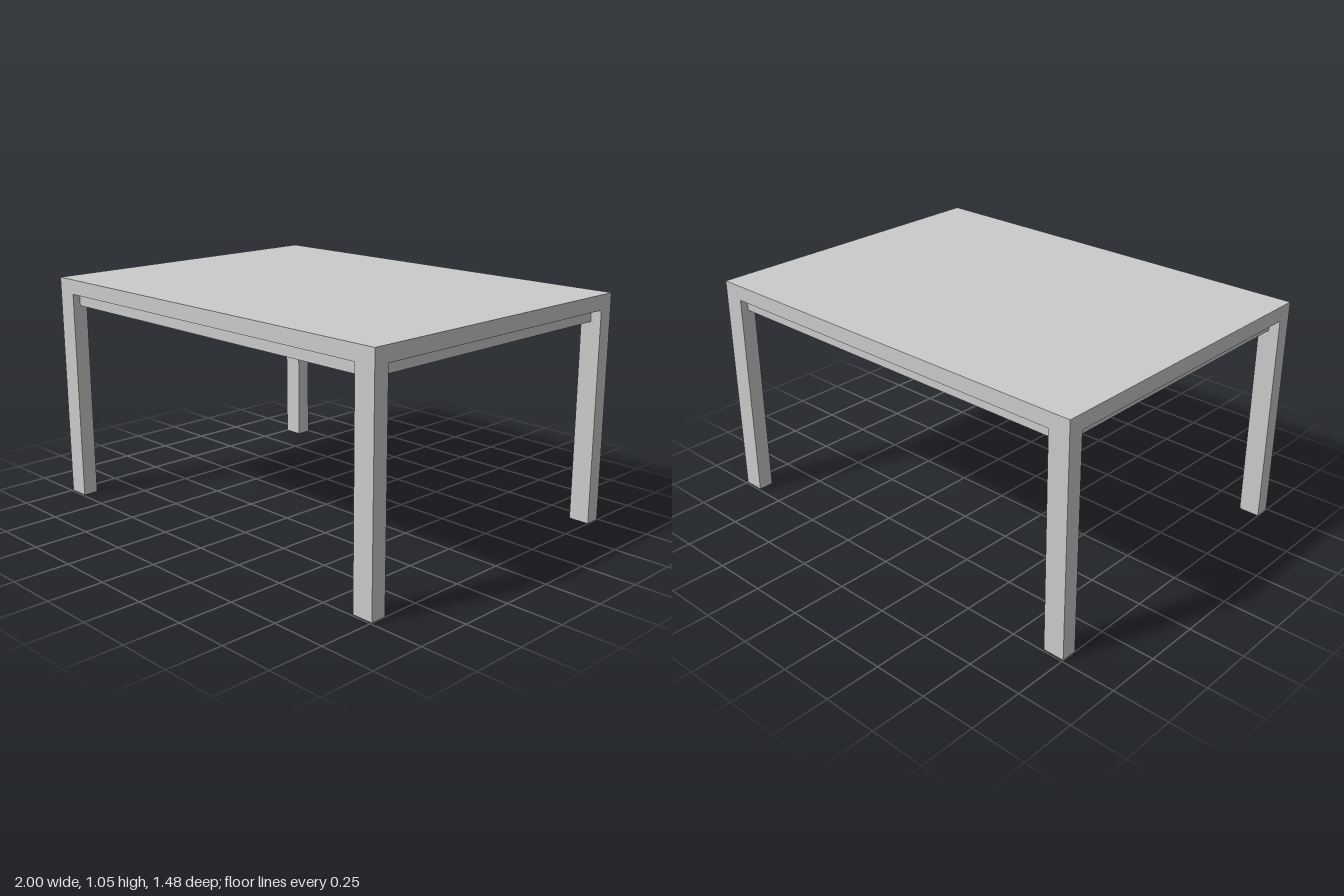
import * as THREE from 'three';

export function createModel() {
  const group = new THREE.Group();
  const material = new THREE.MeshStandardMaterial({ color: 0xcccccc, flatShading: true });

  const halfX = 1, halfZ = 0.742, topY = 1.046, undersideY = 0.978, panelY = 0.921;
  const legX = 0.098, legZ = 0.071;

  // Box given by its size, centre in x and z, and bottom and top heights
  const addBox = (name, width, depth, bottom, top, x = 0, z = 0) => {
    const mesh = new THREE.Mesh(new THREE.BoxGeometry(width, top - bottom, depth), material);
    mesh.name = name;
    mesh.position.set(x, (bottom + top) / 2, z);
    group.add(mesh);
  };

  // Table top
  addBox('tableTop', 2 * halfX, 2 * halfZ, undersideY, topY);

  // Recessed panel under the top, its sides on the centre lines of the legs
  addBox('underPanel', 2 * halfX - legX, 2 * halfZ - legZ, panelY, undersideY);

  // Four legs flush with the corners
  for (const [sx, side] of [[1, 'Left'], [-1, 'Right']]) {
    for (const [sz, end] of [[1, 'front'], [-1, 'back']]) {
      addBox(`${end}${side}Leg`, legX, legZ, 0, undersideY,
        sx * (halfX - legX / 2), sz * (halfZ - legZ / 2));
    }
  }

  return group;
}
